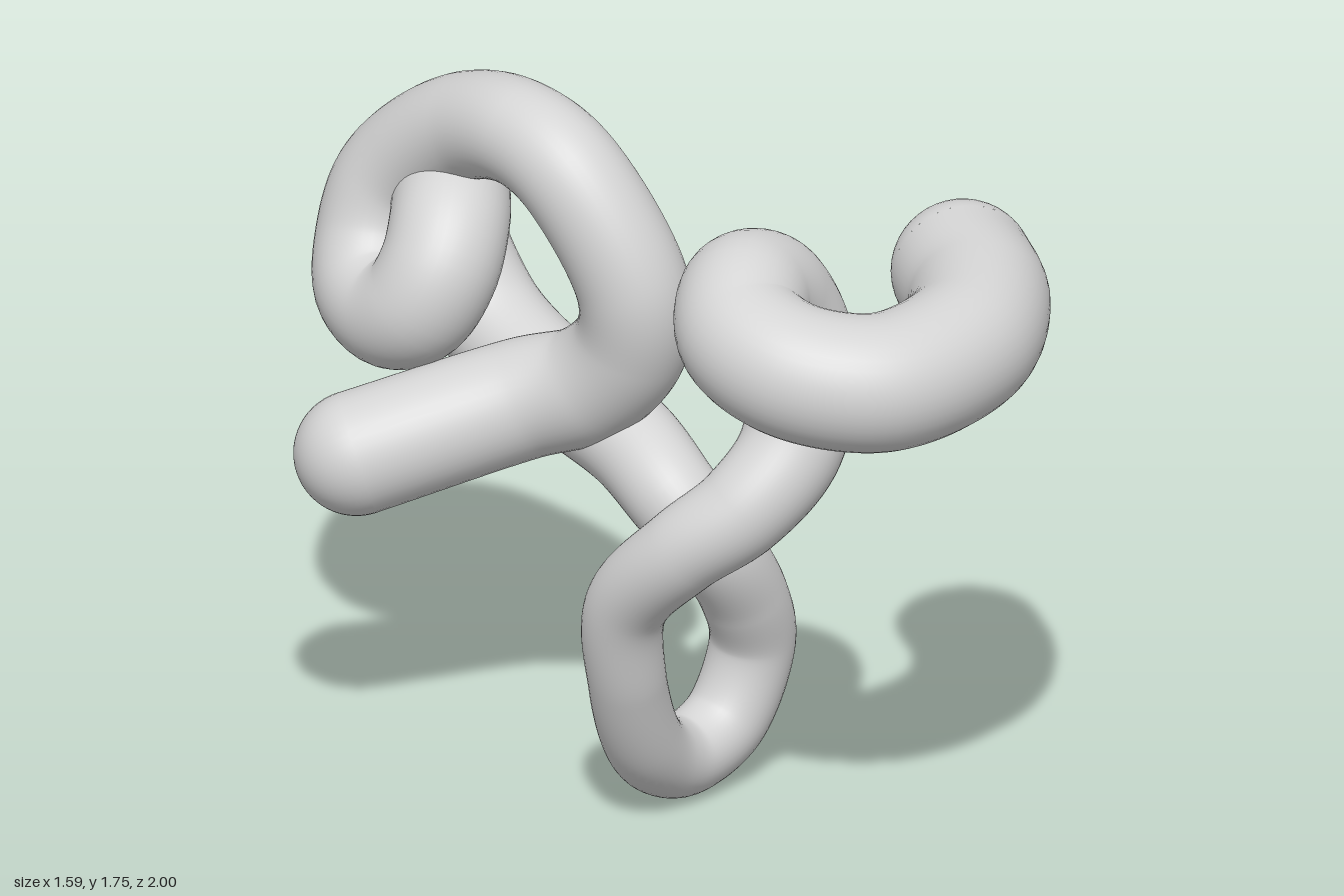
import * as THREE from 'three';

// Centreline, from the front hook down to the ground loop and up through the rear coil
const path = [
  [0.62, 1.44, 0.35], [0.595, 1.43, 0.53], [0.48, 1.41, 0.72], [0.23, 1.395, 0.83],
  [0.04, 1.42, 0.75], [-0.035, 1.465, 0.6], [0.01, 1.51, 0.48], [0.11, 1.46, 0.385],
  [0.2, 1.28, 0.345], [0.15, 1.08, 0.425], [0.02, 0.94, 0.44], [-0.11, 0.82, 0.37],
  [-0.2, 0.63, 0.22], [-0.172, 0.4, 0.15], [-0.1, 0.2, 0.07], [-0.03, 0.125, 0.01],
  [0.05, 0.1, -0.04], [0.17, 0.155, -0.09], [0.245, 0.34, -0.105], [0.205, 0.49, -0.06],
  [0.11, 0.65, -0.015], [0.03, 0.765, -0.06], [-0.02, 0.85, -0.22], [-0.12, 0.92, -0.5],
  [-0.205, 1.015, -0.73], [-0.27, 1.2, -0.855], [-0.29, 1.3, -0.815], [-0.315, 1.36, -0.7],
  [-0.36, 1.345, -0.58], [-0.41, 1.26, -0.515], [-0.46, 1.165, -0.53], [-0.495, 1.12, -0.61],
  [-0.51, 1.145, -0.715], [-0.48, 1.24, -0.79], [-0.44, 1.36, -0.805], [-0.385, 1.46, -0.755],
  [-0.3, 1.575, -0.61], [-0.23, 1.62, -0.41], [-0.165, 1.565, -0.265], [-0.05, 1.3, -0.14],
  [-0.045, 1.14, -0.17], [-0.12, 1.01, -0.26], [-0.25, 0.95, -0.36], [-0.645, 0.825, -0.46],
];

// Thickness: path point number, radius
const thickness = [
  [0, 0.175], [3, 0.17], [6, 0.162], [8, 0.138], [11, 0.107], [13, 0.096], [20, 0.109],
  [23, 0.128], [25, 0.145], [29, 0.147], [32, 0.143], [37, 0.131], [43, 0.153],
];

export function createModel() {
  const group = new THREE.Group();
  group.name = 'knottedTube';
  const grey = new THREE.MeshStandardMaterial({ color: 0xd4d4d4 });
  grey.name = 'plain grey';

  const curve = new THREE.CatmullRomCurve3(
    path.map((p) => new THREE.Vector3(...p)), false, 'centripetal');
  curve.arcLengthDivisions = 1000;

  // Radius along the curve, blended between the thickness keys
  const radiusAt = (u) => {
    const s = curve.getUtoTmapping(u) * (path.length - 1);
    const next = Math.max(1, thickness.findIndex(([n]) => n >= s - 1e-6));
    const [a, ra] = thickness[next - 1];
    const [b, rb] = thickness[next];
    return THREE.MathUtils.mapLinear(s, a, b, ra, rb);
  };

  // Winding body: a unit tube whose rings are scaled to the local radius
  const segments = 420, sides = 40;
  const body = new THREE.TubeGeometry(curve, segments, 1, sides, false);
  const pos = body.attributes.position;
  const v = new THREE.Vector3();
  for (let i = 0; i <= segments; i++) {
    const centre = curve.getPointAt(i / segments);
    const r = radiusAt(i / segments);
    for (let j = 0; j <= sides; j++) {
      const k = i * (sides + 1) + j;
      v.fromBufferAttribute(pos, k).sub(centre).multiplyScalar(r).add(centre);
      pos.setXYZ(k, v.x, v.y, v.z);
    }
  }
  const tube = new THREE.Mesh(body, grey);
  tube.name = 'windingBody';
  group.add(tube);

  // Rounded ends
  const up = new THREE.Vector3(0, 1, 0);
  for (const [u, name] of [[0, 'frontEndCap'], [1, 'backEndCap']]) {
    const cap = new THREE.Mesh(
      new THREE.SphereGeometry(radiusAt(u), sides, 14, 0, Math.PI * 2, 0, Math.PI / 2), grey);
    const outward = curve.getTangentAt(u).multiplyScalar(u ? 1 : -1);
    cap.quaternion.setFromUnitVectors(up, outward);
    cap.position.copy(curve.getPointAt(u));
    cap.name = name;
    group.add(cap);
  }
  return group;
}
